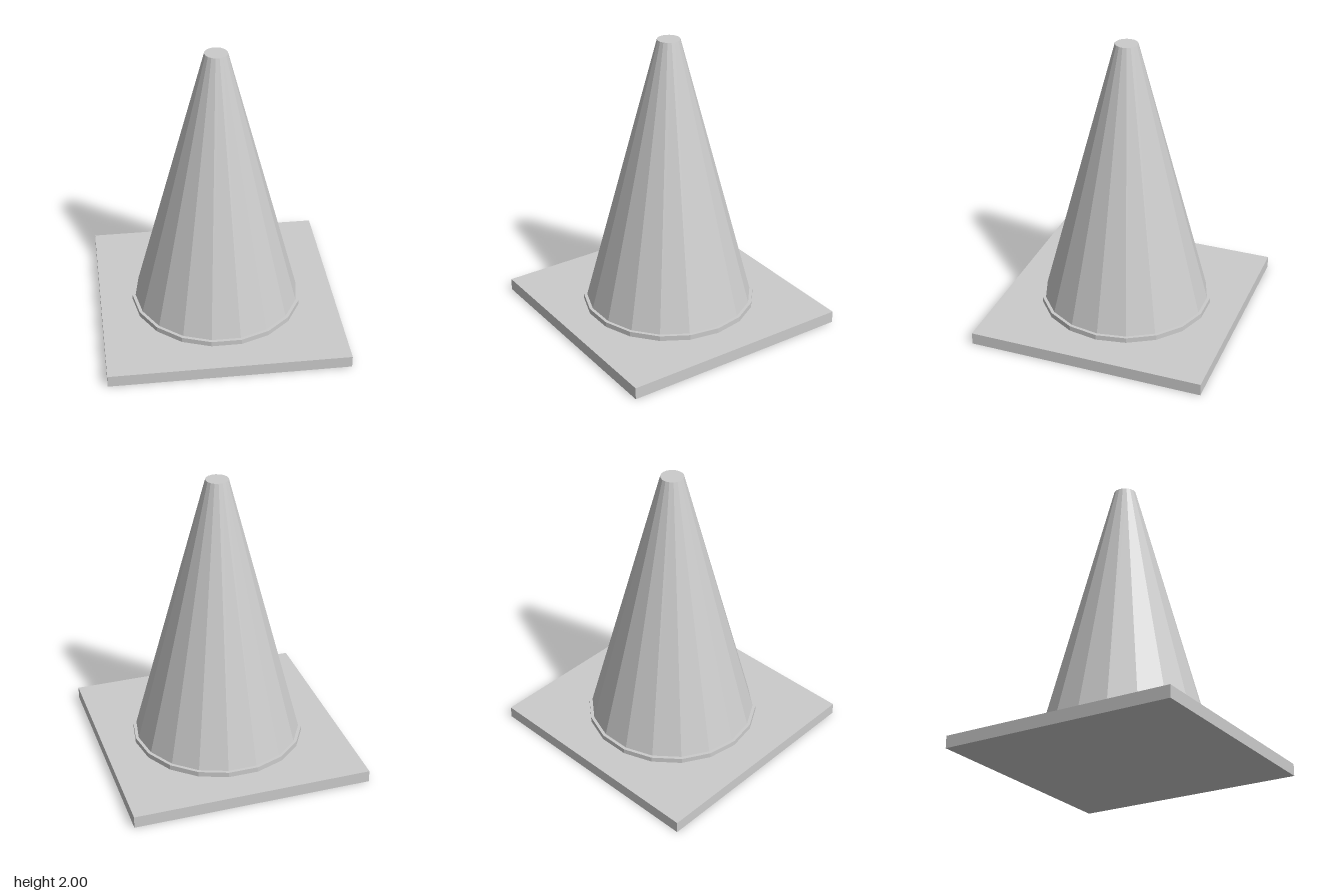
import * as THREE from 'three';

const SIDES = 18;

export function createModel() {
  const group = new THREE.Group();
  const material = new THREE.MeshStandardMaterial({ color: 0xcccccc, flatShading: true });

  const add = (name, geometry, y) => {
    const mesh = new THREE.Mesh(geometry, material);
    mesh.name = name;
    mesh.position.y = y;
    group.add(mesh);
  };

  // Faceted round section from y0 to y1, with a corner on the x axis
  const addRound = (name, topRadius, bottomRadius, y0, y1) => {
    const geometry = new THREE.CylinderGeometry(topRadius, bottomRadius, y1 - y0, SIDES);
    add(name, geometry.rotateY(Math.PI / 2), (y0 + y1) / 2);
  };

  // Square foot plate
  add('basePlate', new THREE.BoxGeometry(1.643, 0.083, 1.624), 0.0415);

  // Low collar around the foot of the cone
  addRound('collar', 0.595, 0.595, 0.083, 0.119);

  // Tapered body with a flat tip
  addRound('coneBody', 0.077, 0.573, 0.119, 2);

  return group;
}
